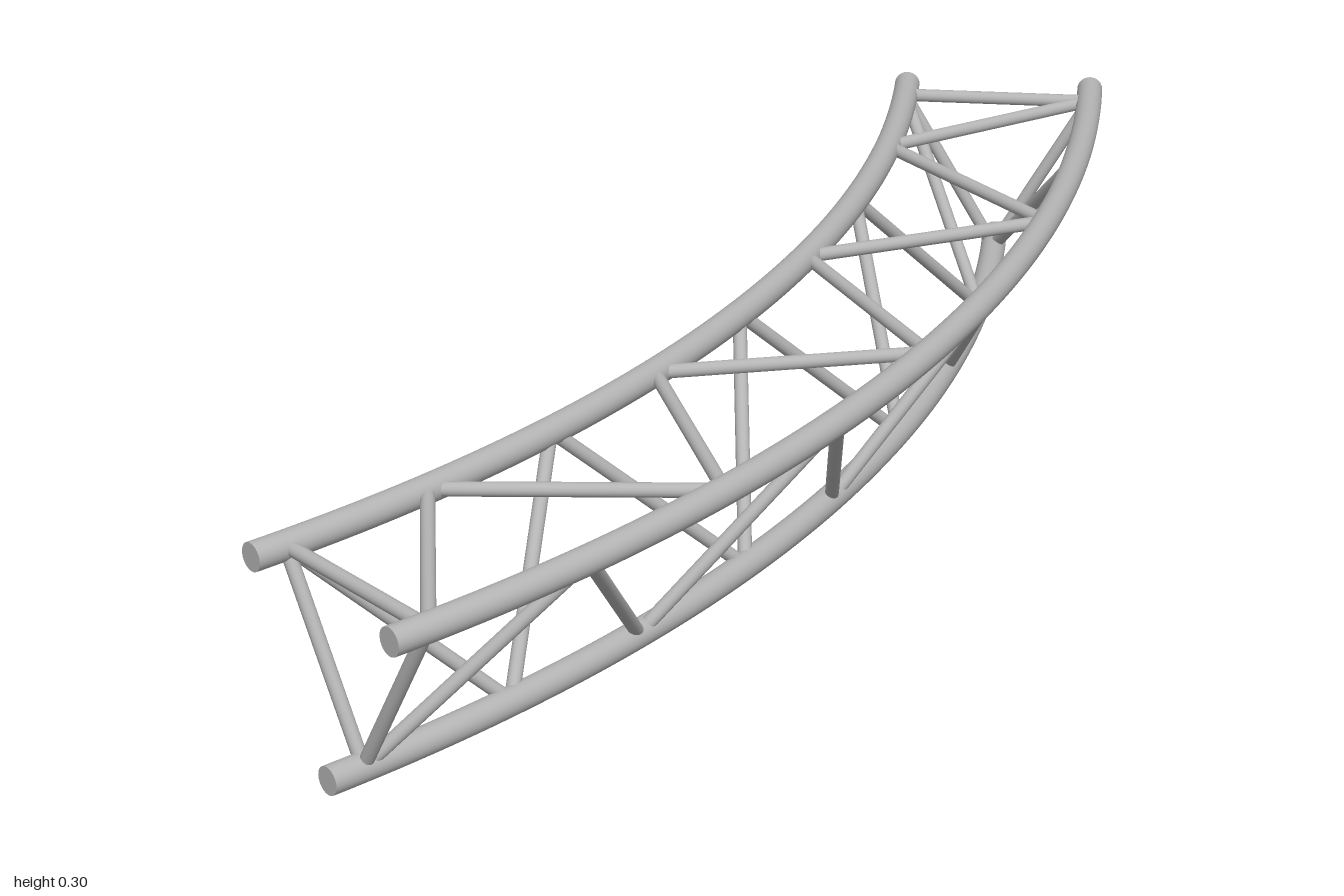
import * as THREE from 'three';

const CENTER_X = -2.295, CENTER_Z = 1; // centre of the curve
const ARC = Math.PI / 4;
const TUBE = 0.02, BRACE = 0.01;
const BAYS = 8;
const FIRST = THREE.MathUtils.degToRad(1.2); // first brace node along the arc

const CHORDS = {
  outer: { name: 'outerTopChord', radius: 2.808, y: 0.277 },
  inner: { name: 'innerTopChord', radius: 2.512, y: 0.277 },
  bottom: { name: 'bottomChord', radius: 2.66, y: 0.02 },
};

export function createModel() {
  const model = new THREE.Group();
  model.name = 'curvedTruss';
  const metal = new THREE.MeshStandardMaterial({ color: 0xb4b4b4 });
  metal.name = 'aluminium';

  const add = (parent, name, geometry) => {
    const mesh = new THREE.Mesh(geometry, metal);
    mesh.name = name;
    parent.add(mesh);
    return mesh;
  };

  // Point on a chord's centre line at a given angle
  const pointOn = (chord, angle) => new THREE.Vector3(
    CENTER_X + chord.radius * Math.cos(angle), chord.y, CENTER_Z - chord.radius * Math.sin(angle));

  // Three curved main tubes with flat end caps
  for (const chord of Object.values(CHORDS)) {
    const group = new THREE.Group();
    group.name = chord.name;
    const tube = add(group, 'tube', new THREE.TorusGeometry(chord.radius, TUBE, 24, 64, ARC));
    tube.rotation.x = -Math.PI / 2;
    tube.position.set(CENTER_X, chord.y, CENTER_Z);
    [[0, 0], [ARC, Math.PI + ARC]].forEach(([angle, turn]) => {
      const cap = add(group, 'endCap', new THREE.CircleGeometry(TUBE, 24));
      cap.position.copy(pointOn(chord, angle));
      cap.rotation.y = turn;
    });
    model.add(group);
  }

  // Straight round brace between two points
  const up = new THREE.Vector3(0, 1, 0);
  const brace = (parent, name, a, b) => {
    const dir = b.clone().sub(a);
    const mesh = add(parent, name, new THREE.CylinderGeometry(BRACE, BRACE, dir.length(), 16));
    mesh.position.copy(a).add(b).multiplyScalar(0.5);
    mesh.quaternion.setFromUnitVectors(up, dir.normalize());
  };
  const nodeAngle = (k) => FIRST + (ARC - 2 * FIRST) * k / BAYS;

  // Each face: zigzag from even nodes on one chord to odd nodes on the next, closed at both ends
  const faces = [
    ['topBracing', CHORDS.outer, CHORDS.inner],
    ['innerBracing', CHORDS.inner, CHORDS.bottom],
    ['outerBracing', CHORDS.bottom, CHORDS.outer],
  ];
  for (const [name, even, odd] of faces) {
    const group = new THREE.Group();
    group.name = name;
    for (let k = 0; k < BAYS; k++) {
      const [from, to] = k % 2 ? [odd, even] : [even, odd];
      brace(group, 'diagonalBrace', pointOn(from, nodeAngle(k)), pointOn(to, nodeAngle(k + 1)));
    }
    for (const k of [0, BAYS]) {
      brace(group, 'endBrace', pointOn(even, nodeAngle(k)), pointOn(odd, nodeAngle(k)));
    }
    model.add(group);
  }
  return model;
}
